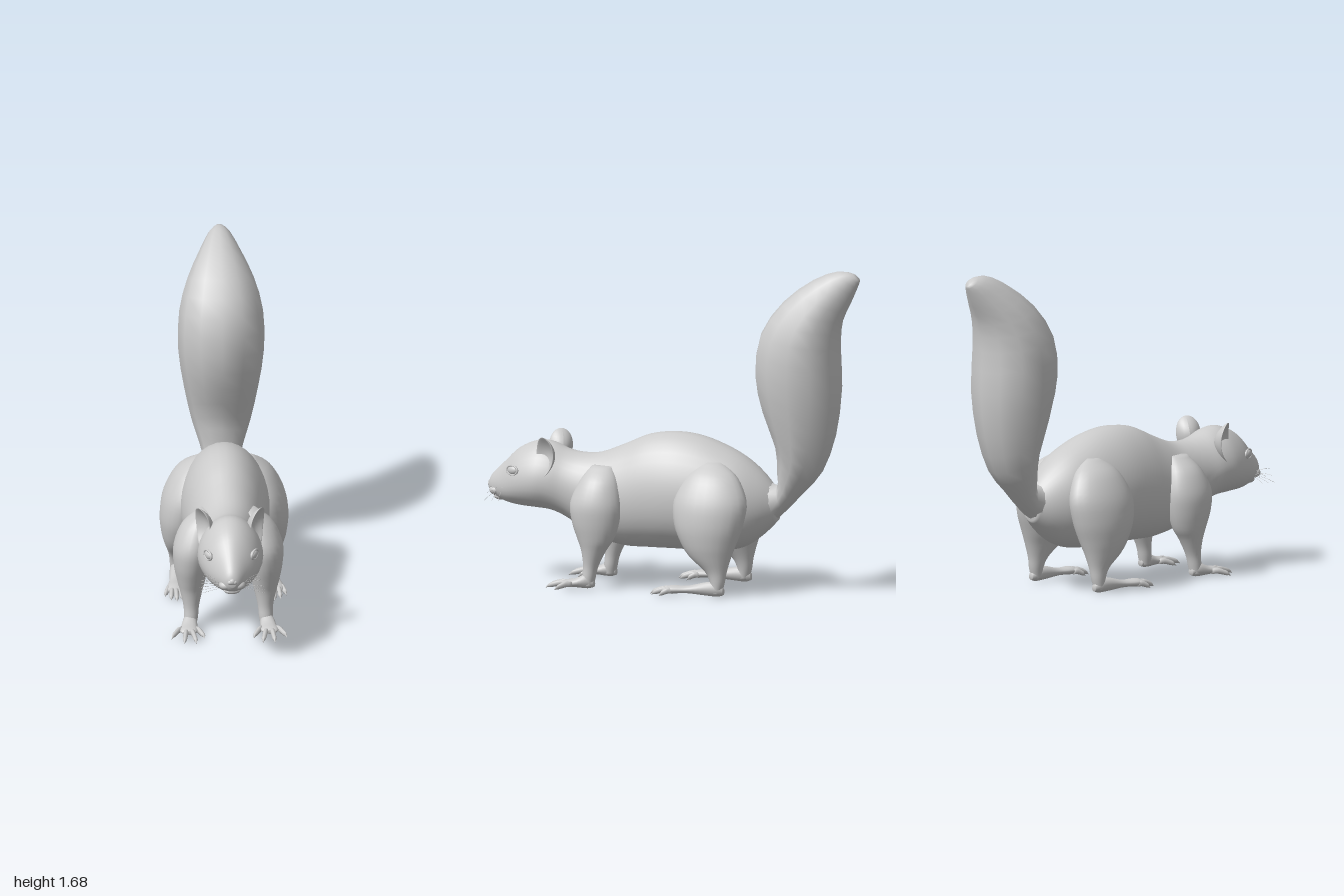
import * as THREE from 'three';

const material = new THREE.MeshStandardMaterial({ color: 0xcccccc, side: THREE.DoubleSide });

// Smooth skin over sections [x, yA, zA, yB, zB, halfWidth, bias]; A and B are opposite
// points of each oval, bias widens the B half. Sections run along (A - B) cross +x.
function loft(rows, seg = 20, sub = 4) {
  const catmull = (a, b, c, d, t) =>
    0.5 * (2 * b + (c - a) * t + (2 * a - 5 * b + 4 * c - d) * t * t + (3 * b - a - 3 * c + d) * t ** 3);
  const at = (i) => rows[Math.max(0, Math.min(rows.length - 1, i))];
  const sections = [];
  for (let i = 0; i < rows.length - 1; i++) {
    for (let s = 0; s < sub; s++) {
      sections.push(rows[0].map((_, k) => catmull(at(i - 1)[k], at(i)[k], at(i + 1)[k], at(i + 2)[k], s / sub)));
    }
  }
  sections.push(rows[rows.length - 1]);
  const pos = [], index = [];
  for (const [x, ya, za, yb, zb, w, bias = 0] of sections) {
    for (let j = 0; j < seg; j++) {
      const a = (j / seg) * Math.PI * 2, c = Math.cos(a) / 2;
      pos.push(x + Math.sin(a) * w * (1 - bias * Math.cos(a)),
        (ya + yb) / 2 + c * (ya - yb), (za + zb) / 2 + c * (za - zb));
    }
  }
  const last = sections.length - 1;
  for (let i = 0; i < last; i++) {
    for (let j = 0; j < seg; j++) {
      const a = i * seg + j, b = i * seg + (j + 1) % seg;
      index.push(a, b, a + seg, b, b + seg, a + seg);
    }
  }
  // End caps
  for (const i of [0, last]) {
    const [x, ya, za, yb, zb] = sections[i], centre = pos.length / 3;
    pos.push(x, (ya + yb) / 2, (za + zb) / 2);
    for (let j = 0; j < seg; j++) {
      const a = i * seg + j, b = i * seg + (j + 1) % seg;
      if (i === 0) index.push(centre, b, a); else index.push(centre, a, b);
    }
  }
  const geo = new THREE.BufferGeometry();
  geo.setAttribute('position', new THREE.Float32BufferAttribute(pos, 3));
  geo.setIndex(index);
  geo.computeVertexNormals();
  return geo;
}

function mirrored(geo) {
  const g = geo.clone().scale(-1, 1, 1), idx = g.index.array;
  for (let i = 0; i < idx.length; i += 3) [idx[i], idx[i + 1]] = [idx[i + 1], idx[i]];
  return g;
}

// Ellipsoid at a point
const blob = (x, y, z, rx, ry, rz) => new THREE.SphereGeometry(1, 20, 14).scale(rx, ry, rz).translate(x, y, z);

// Arched toe ending in a claw
function toe(x0, z0, x1, z1) {
  const profile = [[0, 0.012, 0.04, 0.012], [0.3, 0.014, 0.045, 0.013], [0.6, 0.008, 0.036, 0.012],
    [0.8, 0.004, 0.028, 0.011], [0.88, 0.005, 0.02, 0.006], [1, 0.001, 0.004, 0.001]];
  return loft(profile.map(([t, low, high, w]) => {
    const x = x0 + (x1 - x0) * t, z = z0 + (z1 - z0) * t;
    return [x, low, z, high, z, w];
  }), 8, 2);
}

// Cupped ear, hollow side facing out and forward
function earGeometry() {
  const geo = new THREE.SphereGeometry(1, 28, 20), p = geo.attributes.position;
  for (let i = 0; i < p.count; i++) {
    const x = p.getX(i), y = p.getY(i), z = p.getZ(i);
    p.setXYZ(i, x * 0.014 - 0.04 * (1 - y * y - z * z) + 0.02 * y * y, y * 0.105, z * 0.064 * (1 + 0.12 * y));
  }
  geo.rotateX(-0.12).rotateY(-0.55).translate(0.138, 0.662, 0.648);
  geo.computeVertexNormals();
  return geo;
}

export function createModel() {
  const model = new THREE.Group();
  const add = (name, geo) => {
    const mesh = new THREE.Mesh(geo, material);
    mesh.name = name;
    model.add(mesh);
  };
  const addPair = (name, geo) => {
    add('left' + name, geo);
    add('right' + name, mirrored(geo));
  };

  // Head, neck and trunk: z, top, bottom, half width, bias
  add('body', loft([
    [0.985, 0.505, 0.465, 0.018, 0], [0.965, 0.545, 0.435, 0.045, 0.1], [0.9, 0.61, 0.405, 0.088, 0.2],
    [0.82, 0.685, 0.388, 0.135, 0.2], [0.72, 0.728, 0.38, 0.163, 0.2], [0.64, 0.722, 0.37, 0.163, 0.15],
    [0.56, 0.69, 0.335, 0.152, 0.08], [0.48, 0.676, 0.285, 0.155, 0.05], [0.38, 0.684, 0.235, 0.175, 0.1],
    [0.25, 0.735, 0.205, 0.192, 0.1], [0.12, 0.79, 0.202, 0.21, 0.1], [-0.02, 0.808, 0.202, 0.225, 0.1],
    [-0.16, 0.79, 0.2, 0.225, 0.1], [-0.3, 0.738, 0.205, 0.21, 0.05], [-0.4, 0.682, 0.235, 0.18, 0],
    [-0.49, 0.605, 0.3, 0.125, 0], [-0.56, 0.52, 0.37, 0.06, 0],
  ].map(([z, top, low, w, bias]) => [0, top, z, low, z, w, bias]), 32));

  // Bushy tail: front edge, back edge, half width
  add('tail', loft([
    [0, 0.6, -0.46, 0.33, -0.5, 0.09], [0, 0.55, -0.56, 0.42, -0.6, 0.085],
    [0, 0.64, -0.56, 0.53, -0.705, 0.11], [0, 0.77, -0.55, 0.64, -0.8, 0.15],
    [0, 0.95, -0.48, 0.83, -0.87, 0.19], [0, 1.14, -0.44, 1.06, -0.9, 0.22],
    [0, 1.34, -0.47, 1.28, -0.89, 0.215], [0, 1.51, -0.59, 1.42, -0.905, 0.17],
    [0, 1.63, -0.75, 1.52, -0.95, 0.105], [0, 1.68, -0.88, 1.6, -0.985, 0.055],
    [0, 1.672, -0.96, 1.635, -0.998, 0.02],
  ], 12, 2));

  // Legs: x, height, back z, front z, half width
  const leg = (rows) => loft(rows.map(([x, y, back, front, w]) => [x, y, back, y, front, w]), 24);
  addPair('HindLeg', leg([
    [0.12, 0.68, -0.29, -0.19, 0.03], [0.165, 0.61, -0.39, -0.12, 0.08], [0.2, 0.49, -0.45, -0.065, 0.11],
    [0.215, 0.37, -0.435, -0.07, 0.115], [0.222, 0.27, -0.4, -0.11, 0.1], [0.23, 0.2, -0.375, -0.16, 0.075],
    [0.235, 0.13, -0.355, -0.24, 0.048], [0.24, 0.07, -0.345, -0.27, 0.036], [0.243, 0.015, -0.33, -0.27, 0.028],
  ]));
  addPair('ForeLeg', leg([
    [0.12, 0.63, 0.29, 0.4, 0.03], [0.155, 0.56, 0.25, 0.45, 0.08], [0.18, 0.45, 0.225, 0.495, 0.1],
    [0.188, 0.35, 0.235, 0.485, 0.092], [0.19, 0.26, 0.265, 0.455, 0.074], [0.19, 0.2, 0.305, 0.435, 0.058],
    [0.19, 0.12, 0.345, 0.425, 0.04], [0.192, 0.06, 0.36, 0.43, 0.036], [0.195, 0.015, 0.37, 0.43, 0.03],
  ]));

  // Feet: x, z, bottom, top, half width
  const foot = (rows) => loft(rows.map(([x, z, low, top, w]) => [x, low, z, top, z, w]), 16);
  addPair('HindFoot', foot([
    [0.243, -0.342, 0.012, 0.045, 0.014], [0.243, -0.31, 0.002, 0.075, 0.03], [0.245, -0.25, 0.005, 0.075, 0.034],
    [0.25, -0.15, 0.014, 0.052, 0.034], [0.255, -0.07, 0.01, 0.052, 0.045], [0.257, -0.025, 0.014, 0.04, 0.035],
  ]));
  addPair('ForeFoot', foot([
    [0.195, 0.365, 0.012, 0.045, 0.016], [0.197, 0.4, 0.003, 0.08, 0.034], [0.203, 0.46, 0.008, 0.055, 0.042],
    [0.207, 0.51, 0.012, 0.046, 0.045], [0.208, 0.53, 0.016, 0.036, 0.03],
  ]));
  [[0.222, -0.07, 0.195, -0.01], [0.232, -0.06, 0.222, 0.035], [0.253, -0.05, 0.25, 0.05],
    [0.272, -0.055, 0.28, 0.035], [0.285, -0.08, 0.31, -0.015]]
    .forEach((t, i) => addPair('HindToe' + (i + 1), toe(...t)));
  [[0.172, 0.47, 0.125, 0.55], [0.193, 0.5, 0.17, 0.615], [0.218, 0.5, 0.232, 0.615], [0.24, 0.47, 0.295, 0.55]]
    .forEach((t, i) => addPair('ForeToe' + (i + 1), toe(...t)));

  // Face
  addPair('Ear', earGeometry());
  addPair('Eye', blob(0, 0, 0, 0.033, 0.022, 0.016).rotateY(1.1).translate(0.116, 0.582, 0.827));
  addPair('Eyelid', new THREE.TorusGeometry(0.033, 0.006, 8, 28).scale(1.08, 0.74, 1)
    .rotateY(1.1).translate(0.12, 0.582, 0.828));
  addPair('Cheek', blob(0.032, 0.462, 0.94, 0.036, 0.026, 0.036));
  addPair('Nostril', blob(0.011, 0.49, 0.98, 0.014, 0.012, 0.011));
  add('nose', blob(0, 0.494, 0.977, 0.018, 0.018, 0.015));
  add('chin', blob(0, 0.427, 0.92, 0.045, 0.02, 0.04));

  // Whiskers fan out from each cheek
  for (let i = 0; i < 9; i++) {
    const row = i % 3, col = Math.floor(i / 3);
    const start = new THREE.Vector3(0.05 + col * 0.008, 0.448 + row * 0.013, 0.945 - col * 0.018);
    const end = new THREE.Vector3(0.165 - row * 0.01, 0.425 + row * 0.035, 0.965 - col * 0.04 - row * 0.008);
    const mid = start.clone().lerp(end, 0.5).add(new THREE.Vector3(0, 0.006, 0.006));
    addPair('Whisker' + (i + 1),
      new THREE.TubeGeometry(new THREE.QuadraticBezierCurve3(start, mid, end), 6, 0.0008, 4));
  }
  return model;
}
